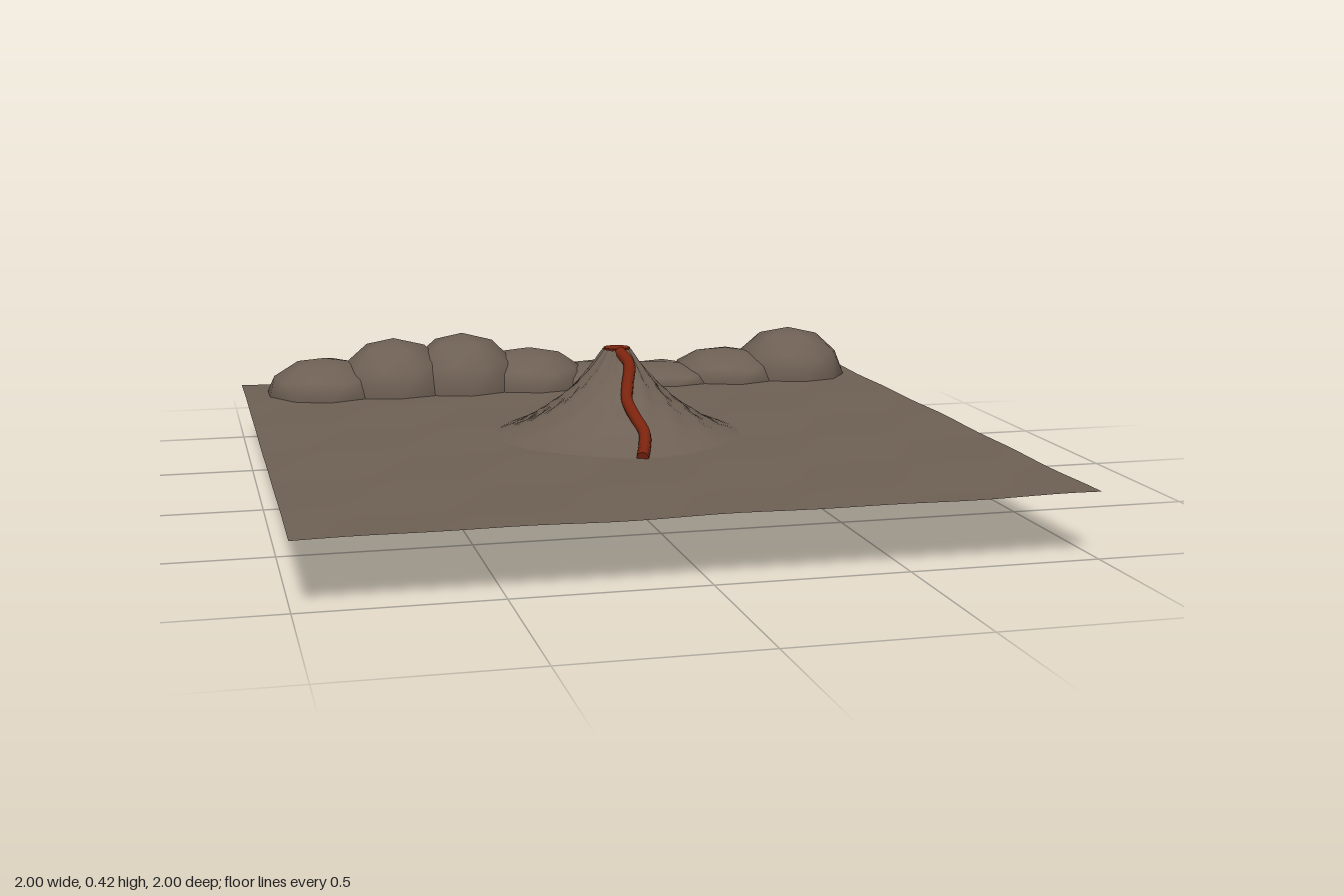
import * as THREE from 'three';

const GROUND_Y = 0.172;

export function createModel() {
  const model = new THREE.Group();
  model.name = 'volcanoLandscape';

  const stone = new THREE.MeshStandardMaterial({ color: 0x6e6054, side: THREE.DoubleSide });
  stone.name = 'stone';
  const lava = new THREE.MeshStandardMaterial({ color: 0x7c240e });
  lava.name = 'lava';

  const add = (name, geometry, material, parent = model) => {
    const mesh = new THREE.Mesh(geometry, material);
    mesh.name = name;
    parent.add(mesh);
    return mesh;
  };

  // Square ground with a very slight unevenness
  const ground = new THREE.PlaneGeometry(2, 2, 32, 32).rotateX(-Math.PI / 2);
  const gp = ground.attributes.position;
  for (let i = 0; i < gp.count; i++) {
    const x = gp.getX(i), z = gp.getZ(i);
    gp.setY(i, GROUND_Y + 0.0025 * Math.sin(x * 11 + z * 4) * Math.cos(z * 9 - x * 3));
  }
  ground.computeVertexNormals();
  add('ground', ground, stone);

  // Concave cone with ridges that swirl outwards
  const profile = [
    [0.35, 0.17], [0.30, 0.188], [0.26, 0.205], [0.22, 0.228], [0.18, 0.256],
    [0.14, 0.288], [0.10, 0.328], [0.07, 0.364], [0.05, 0.393], [0.037, 0.412],
  ].map(([r, y]) => new THREE.Vector2(r, y));
  const cone = new THREE.LatheGeometry(profile, 96);
  const cp = cone.attributes.position;
  for (let i = 0; i < cp.count; i++) {
    const x = cp.getX(i), z = cp.getZ(i), r = Math.hypot(x, z);
    const fade = Math.max(0, 1 - r / 0.37);
    const k = 1 + 0.09 * fade * Math.sin(12 * (Math.atan2(z, x) - 4 * r));
    cp.setX(i, x * k);
    cp.setZ(i, z * k);
  }
  cone.computeVertexNormals();
  add('volcanoCone', cone, stone);

  // Lava pool filling the crater
  const pool = add('lavaPool', new THREE.CylinderGeometry(0.038, 0.036, 0.012, 10), lava);
  pool.position.y = 0.41;

  // Winding stream running down the front slope
  const path = new THREE.CatmullRomCurve3([
    [0, 0.408, 0.03], [0.018, 0.378, 0.075], [0.005, 0.328, 0.11], [-0.006, 0.29, 0.15],
    [0.006, 0.25, 0.20], [0.018, 0.218, 0.25], [0.006, 0.193, 0.30], [-0.013, 0.173, 0.355],
  ].map((p) => new THREE.Vector3(...p)));
  const stream = new THREE.Group();
  stream.name = 'lavaStream';
  model.add(stream);
  const radius = 0.017;
  add('streamBody', new THREE.TubeGeometry(path, 40, radius, 8), lava, stream);
  [0, 1].forEach((t) => {
    const cap = add('streamEnd', new THREE.CircleGeometry(radius, 8), lava, stream);
    const end = path.getPoint(t);
    const out = path.getTangent(t).multiplyScalar(t ? 1 : -1);
    cap.position.copy(end);
    cap.lookAt(end.clone().add(out));
  });

  // Row of rounded hills along the back, each squashed to its own height
  const hills = new THREE.Group();
  hills.name = 'backHills';
  model.add(hills);
  const hill = new THREE.IcosahedronGeometry(1, 1).rotateZ(-Math.atan(2 / (1 + Math.sqrt(5))));
  const halfHeights = [0.108, 0.163, 0.172, 0.117, 0.062, 0.053, 0.092, 0.152];
  halfHeights.forEach((h, i) => {
    const mesh = add('hill', hill, stone, hills);
    mesh.position.set(-0.75 + i * 0.2185, GROUND_Y, -0.815);
    mesh.scale.set(0.185, h, 0.185);
  });

  return model;
}
